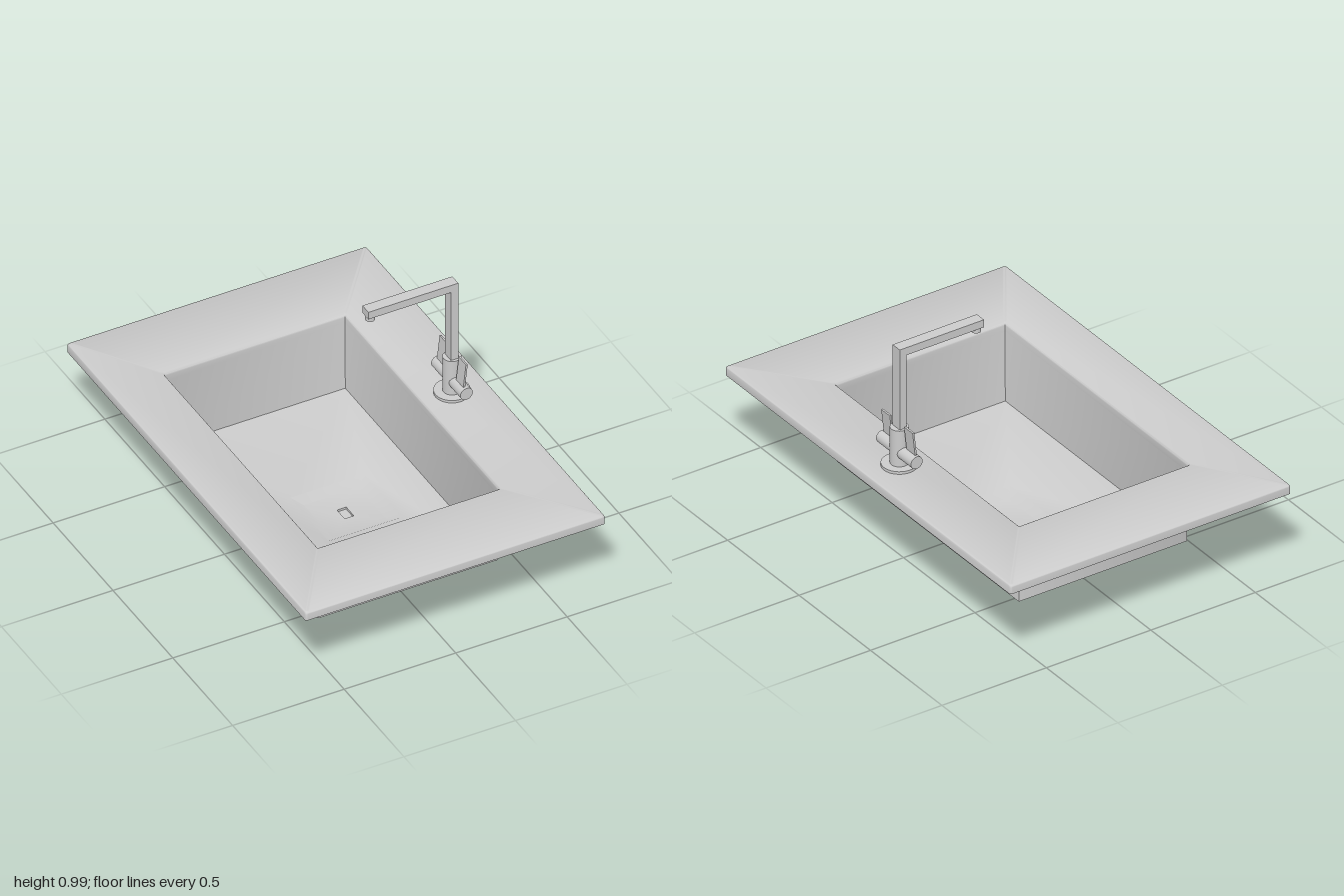
import * as THREE from 'three';
import { toCreasedNormals } from 'three/addons/utils/BufferGeometryUtils.js';

const CORNER_STEPS = 4;

// Rounded rectangle at height y, as a loop of points
function ring(x0, x1, halfZ, y, r) {
  const points = [];
  const corners = [[x1 - r, halfZ - r], [x0 + r, halfZ - r], [x0 + r, r - halfZ], [x1 - r, r - halfZ]];
  corners.forEach(([cx, cz], q) => {
    for (let i = 0; i <= CORNER_STEPS; i++) {
      const a = (q + i / CORNER_STEPS) * Math.PI / 2;
      points.push([cx + r * Math.cos(a), y, cz + r * Math.sin(a)]);
    }
  });
  return points;
}

// Skin successive rings into one sheet
function loft(rings) {
  const n = rings[0].length;
  const index = [];
  for (let k = 0; k < rings.length - 1; k++) {
    for (let i = 0; i < n; i++) {
      const a = k * n + i, b = k * n + (i + 1) % n;
      index.push(a, a + n, b, b, a + n, b + n);
    }
  }
  const geometry = new THREE.BufferGeometry();
  geometry.setAttribute('position', new THREE.Float32BufferAttribute(rings.flat(2), 3));
  geometry.setIndex(index);
  return toCreasedNormals(geometry, 0.6);
}

export function createModel() {
  const model = new THREE.Group();
  model.name = 'sinkWithTap';
  const grey = new THREE.MeshStandardMaterial({ color: 0xcccccc });
  const sheet = new THREE.MeshStandardMaterial({ color: 0xcccccc, side: THREE.DoubleSide });

  function add(parent, name, geometry, x = 0, y = 0, z = 0, material = grey) {
    const mesh = new THREE.Mesh(geometry, material);
    mesh.name = name;
    mesh.position.set(x, y, z);
    parent.add(mesh);
    return mesh;
  }

  // Worktop: thin pressed sheet with a rounded rim and a rounded opening
  const rings = [ring(-0.672, 0.672, 1, 0.4, 0.01)];
  for (let i = 0; i <= 4; i++) {
    const a = i / 4 * Math.PI / 2, d = 0.01 * (1 - Math.cos(a));
    rings.push(ring(-0.672 + d, 0.672 - d, 1 - d, 0.43 + 0.01 * Math.sin(a), 0.011));
  }
  for (let i = 0; i <= 4; i++) {
    const a = i / 4 * Math.PI / 2, d = 0.013 * Math.sin(a);
    rings.push(ring(-0.438 + d, 0.398 - d, 0.655 - d, 0.427 + 0.013 * Math.cos(a), 0.014 - d));
  }
  rings.push(ring(-0.425, 0.385, 0.642, 0.4, 0.001));
  add(model, 'worktop', loft(rings), 0, 0, 0, sheet);

  // Basin: straight walls, sloping floor, recessed sump and drain
  add(model, 'basin', loft([
    ring(-0.425, 0.385, 0.642, 0.4, 0.001),
    ring(-0.422, 0.383, 0.636, 0.08, 0.001),
    ring(-0.12, 0.21, 0.16, 0.036, 0.001),
    ring(-0.08, 0.165, 0.12, 0.012, 0.001),
    ring(0.022, 0.063, 0.032, 0.01, 0.001),
    ring(0.022, 0.063, 0.032, 0, 0.001),
    ring(0.041, 0.043, 0.001, 0, 0.0005),
  ]), 0, 0, 0, sheet);

  // Tap
  const tap = new THREE.Group();
  tap.name = 'tap';
  tap.position.x = 0.52;
  model.add(tap);
  add(tap, 'tapBase', new THREE.CylinderGeometry(0.074, 0.074, 0.015, 40), 0, 0.4445, 0);
  add(tap, 'tapBody', new THREE.CylinderGeometry(0.038, 0.038, 0.167, 32), 0, 0.5345, 0);

  // Square spout: an L-shaped bar
  const outline = new THREE.Shape([
    [-0.018, 0.61], [0.015, 0.61], [0.015, 0.99], [-0.388, 0.99], [-0.388, 0.955], [-0.018, 0.955],
  ].map(([x, y]) => new THREE.Vector2(x, y)));
  add(tap, 'spout', new THREE.ExtrudeGeometry(outline, { depth: 0.05, bevelEnabled: false }), 0, 0, -0.025);
  add(tap, 'spoutNozzle', new THREE.CylinderGeometry(0.02, 0.02, 0.024, 24), -0.367, 0.945, 0);

  // Mirrored handles with upright lever blades
  for (const side of [-1, 1]) {
    const name = side > 0 ? 'front' : 'back';
    const barrel = add(tap, name + 'Handle', new THREE.CylinderGeometry(0.028, 0.028, 0.1, 28), 0, 0.51, side * 0.072);
    barrel.rotation.x = Math.PI / 2;
    const lever = add(tap, name + 'Lever', new THREE.BoxGeometry(0.008, 0.12, 0.06), 0.001, 0.585, side * 0.08);
    lever.rotation.z = -0.11;
  }
  return model;
}
